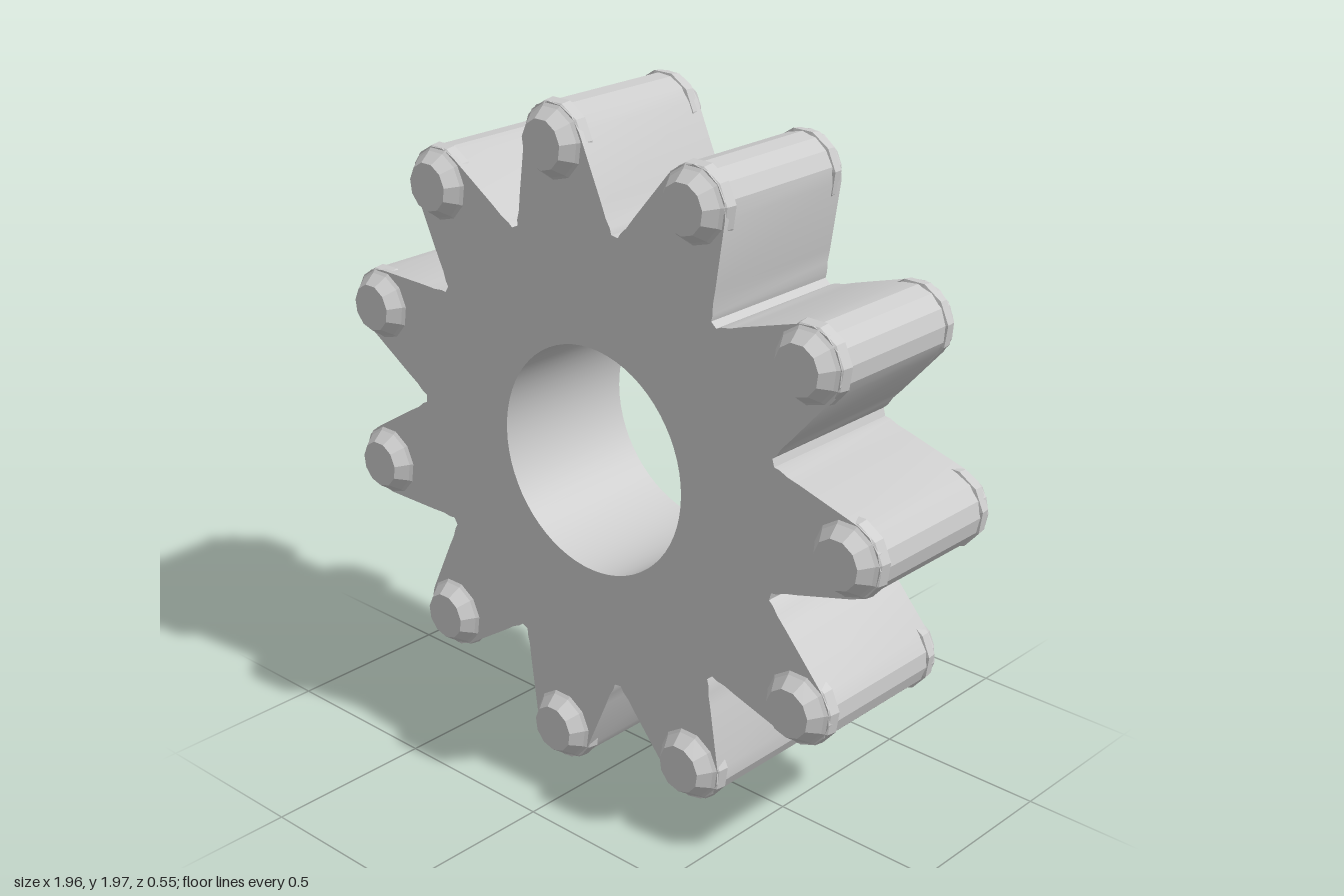
import * as THREE from 'three';
import { toCreasedNormals } from 'three/addons/utils/BufferGeometryUtils.js';

const TEETH = 11;
const PIN_RADIUS = 0.885; // distance of the pins from the hub centre
const HALF = 0.23;        // half thickness of the wheel

// Outline of one tooth pointing along +x, from its lower valley to its upper one
function toothOutline() {
  const flank = [[0.647, 0.178], [0.665, 0.175], [0.69, 0.164], [0.73, 0.154]];
  const pts = flank.map(([x, y]) => new THREE.Vector2(x, -y));
  for (let i = 0; i <= 6; i++) {
    const a = THREE.MathUtils.degToRad(-75 + 25 * i);
    pts.push(new THREE.Vector2(PIN_RADIUS + 0.106 * Math.cos(a), 0.106 * Math.sin(a)));
  }
  return pts.concat(flank.reverse().map(([x, y]) => new THREE.Vector2(x, y)));
}

export function createModel() {
  const group = new THREE.Group();
  const smooth = new THREE.MeshStandardMaterial({ color: 0xcccccc });
  const faceted = new THREE.MeshStandardMaterial({ color: 0xcccccc, flatShading: true });

  // Toothed wheel with a round bore
  const origin = new THREE.Vector2();
  const outline = [];
  for (let i = 0; i < TEETH; i++) {
    const angle = (i / TEETH) * Math.PI * 2;
    toothOutline().forEach(p => outline.push(p.rotateAround(origin, angle)));
  }
  const shape = new THREE.Shape(outline);
  shape.holes.push(new THREE.Path().absarc(0, 0, 0.332, 0, Math.PI * 2, true));
  const wheelGeometry = new THREE.ExtrudeGeometry(shape, {
    depth: HALF * 2, bevelEnabled: false, curveSegments: 32,
  }).translate(0, 0, -HALF);
  const wheel = new THREE.Mesh(toCreasedNormals(wheelGeometry, 0.3), smooth);
  wheel.name = 'toothedWheel';
  group.add(wheel);

  // Pins through the tooth tips, with a thin collar and a tapered cap at each end
  const half = [[0.098, 0.19], [0.113, 0.195], [0.109, 0.225], [0.096, 0.238], [0.07, 0.275], [0, 0.275]];
  const profile = [
    ...half.slice().reverse().map(([r, z]) => new THREE.Vector2(r, -z)),
    ...half.map(([r, z]) => new THREE.Vector2(r, z)),
  ];
  const pinGeometry = new THREE.LatheGeometry(profile, 11).rotateX(Math.PI / 2);
  for (let i = 0; i < TEETH; i++) {
    const angle = (i / TEETH) * Math.PI * 2;
    const pin = new THREE.Mesh(pinGeometry, faceted);
    pin.name = `toothPin${i + 1}`;
    pin.position.set(PIN_RADIUS * Math.cos(angle), PIN_RADIUS * Math.sin(angle), 0);
    pin.rotation.z = angle;
    group.add(pin);
  }

  group.position.set(-0.02, 1, 0);
  const model = new THREE.Group();
  model.name = 'pinGear';
  model.add(group);
  group.name = 'gear';
  return model;
}
